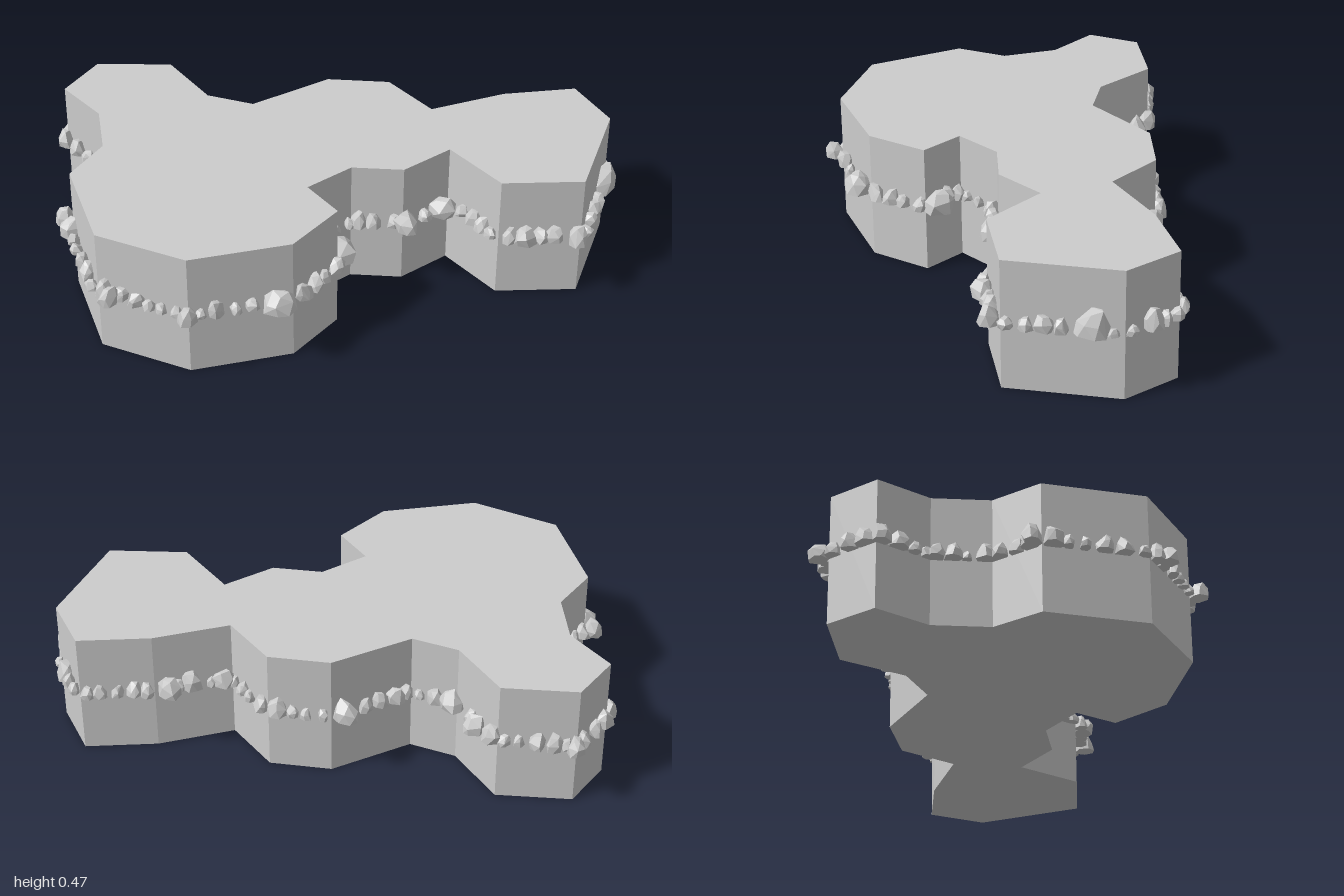
import * as THREE from 'three';
import { ConvexGeometry } from 'three/addons/geometries/ConvexGeometry.js';

const HEIGHT = 0.475, ROCK_BASE = 0.24;

// plateau outline as [x, z], clockwise seen from above
const OUTLINE = [
  [-0.53, -0.755], [-0.29, -0.62], [-0.26, -0.365], [-0.14, -0.235], [0.18, -0.25], [0.37, -0.125],
  [0.415, 0.105], [0.70, 0.145], [0.95, 0.24], [0.95, 0.465], [0.65, 0.745], [0.39, 0.615],
  [0.34, 0.355], [0.135, 0.385], [-0.02, 0.285], [-0.21, 0.315], [-0.185, 0.485], [-0.405, 0.575],
  [-0.755, 0.485], [-0.965, 0.215], [-0.90, -0.15], [-0.73, -0.25], [-0.66, -0.445], [-0.705, -0.655],
];

// the larger boulders: x, z, radius, height
const BOULDERS = [
  [-0.47, 0.595, 0.06, 0.07], [-0.15, 0.455, 0.055, 0.08], [0.29, 0.395, 0.055, 0.07],
  [0.88, 0.55, 0.06, 0.09], [0.62, 0.775, 0.04, 0.07], [-0.51, -0.785, 0.04, 0.06],
  [0.66, 0.11, 0.05, 0.07], [0.14, -0.285, 0.05, 0.07], [-0.24, -0.53, 0.045, 0.07],
  [-0.23, -0.38, 0.045, 0.07], [0.46, 0.68, 0.045, 0.06], [0.965, 0.36, 0.04, 0.07],
  [-0.96, 0.29, 0.04, 0.06], [-0.91, -0.19, 0.04, 0.07], [0.13, 0.42, 0.045, 0.07],
  [0.46, 0.085, 0.04, 0.06], [-0.72, -0.64, 0.035, 0.06], [-0.77, 0.51, 0.04, 0.06],
];

function seeded(seed) {
  return () => (seed = (seed * 16807) % 2147483647) / 2147483647;
}

// faceted stone with a flat underside, made from three jittered rings
function rockGeometry(x, z, radius, height, rand) {
  const points = [];
  const turn = rand() * Math.PI * 2;
  const squash = 0.75 + rand() * 0.25;
  const lean = (rand() - 0.5) * radius * 0.5;
  for (const [level, scale, count] of [[0, 0.95, 7], [0.5, 0.92, 6], [0.95, 0.5, 4]]) {
    for (let i = 0; i < count; i++) {
      const a = (i + level + rand() * 0.6) / count * Math.PI * 2;
      const r = radius * scale * (0.85 + rand() * 0.3);
      const u = Math.cos(a) * r + lean * level, v = Math.sin(a) * r * squash;
      const px = x + u * Math.cos(turn) - v * Math.sin(turn);
      const pz = z + u * Math.sin(turn) + v * Math.cos(turn);
      const py = level === 0 ? 0 : height * (level + (rand() - 0.5) * 0.25);
      points.push(new THREE.Vector3(
        THREE.MathUtils.clamp(px, -1, 1), ROCK_BASE + py, THREE.MathUtils.clamp(pz, -0.82, 0.81)));
    }
  }
  return new ConvexGeometry(points);
}

export function createModel() {
  const model = new THREE.Group();
  const stone = new THREE.MeshStandardMaterial({ color: 0xcccccc });
  stone.name = 'grey stone';

  // plateau
  const shape = new THREE.Shape(OUTLINE.map(([x, z]) => new THREE.Vector2(x, -z)));
  const slab = new THREE.ExtrudeGeometry(shape, { depth: HEIGHT, bevelEnabled: false });
  slab.rotateX(-Math.PI / 2);
  const plateau = new THREE.Mesh(slab, stone);
  plateau.name = 'plateau';
  model.add(plateau);

  // belt of rocks around the wall
  const rocks = new THREE.Group();
  rocks.name = 'rockBelt';
  const rand = seeded(4711);
  const addRock = (name, x, z, r, h) => {
    const rock = new THREE.Mesh(rockGeometry(x, z, r, h, rand), stone);
    rock.name = name;
    rocks.add(rock);
  };
  for (const [x, z, r, h] of BOULDERS) addRock('boulder', x, z, r, h);

  OUTLINE.forEach(([x0, z0], i) => {
    const [x1, z1] = OUTLINE[(i + 1) % OUTLINE.length];
    const length = Math.hypot(x1 - x0, z1 - z0);
    const dx = (x1 - x0) / length, dz = (z1 - z0) / length;
    const count = Math.round(length / 0.058);
    for (let k = 0; k < count; k++) {
      const t = (k + 0.3 + rand() * 0.4) / count * length;
      const size = rand();
      const out = 0.008 + rand() * 0.014;
      const x = x0 + dx * t + dz * out, z = z0 + dz * t - dx * out;
      // leave room for the boulders
      if (BOULDERS.some(([bx, bz, br]) => Math.hypot(bx - x, bz - z) < br * 0.9)) continue;
      addRock('pebble', x, z, 0.022 + size * 0.018, 0.025 + size * 0.03 + rand() * 0.015);
    }
  });
  model.add(rocks);
  return model;
}
